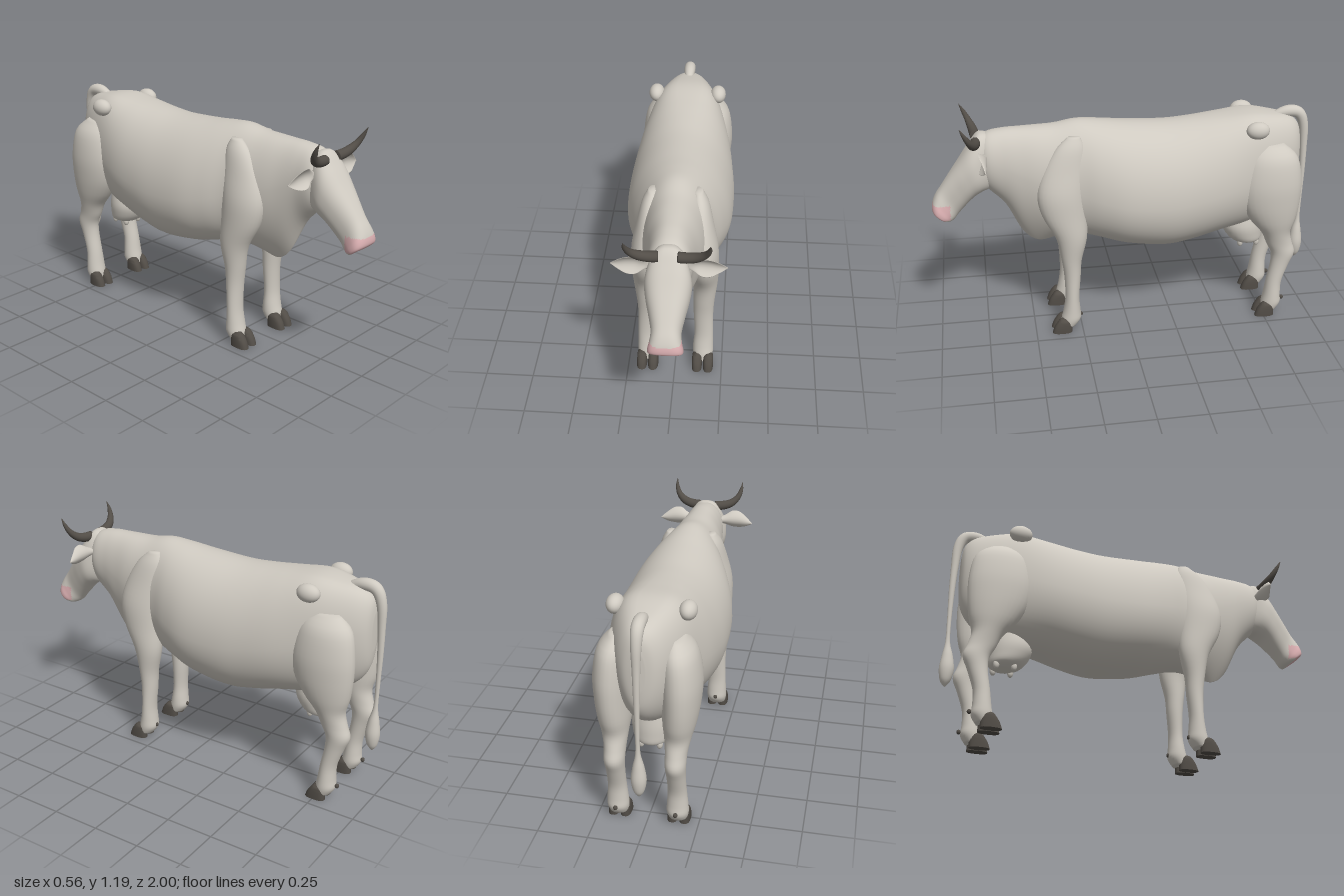
import * as THREE from 'three';
import { toCreasedNormals } from 'three/addons/utils/BufferGeometryUtils.js';

const material = (name, color) => {
  const m = new THREE.MeshStandardMaterial({ color });
  m.name = name;
  return m;
};

// Catmull-Rom blend of a list of section rows at t in 0..1
function blend(rows, t) {
  const f = t * (rows.length - 1);
  const i = Math.min(Math.floor(f), rows.length - 2);
  const u = f - i;
  const row = k => rows[Math.max(0, Math.min(rows.length - 1, k))];
  const [a, b, c, d] = [row(i - 1), row(i), row(i + 1), row(i + 2)];
  return b.map((v, k) => v + 0.5 * u * (c[k] - a[k]
    + u * (2 * a[k] - 5 * v + 4 * c[k] - d[k]
    + u * (3 * (v - c[k]) + d[k] - a[k]))));
}

// Closed skin through rings; ring(section, angle, t) returns a point [x, y, z].
// pick(centroid) optionally sends a face to material group 1.
function loft(rows, ring, sides = 32, steps = 4, pick = null) {
  const count = (rows.length - 1) * steps;
  const pos = [];
  for (let j = 0; j <= count; j++) {
    const s = blend(rows, j / count);
    for (let i = 0; i < sides; i++) pos.push(...ring(s, i / sides * Math.PI * 2, j / count));
  }
  for (const j of [0, count]) {
    const c = [0, 0, 0];
    for (let i = 0; i < sides * 3; i++) c[i % 3] += pos[j * sides * 3 + i] / sides;
    pos.push(...c);
  }
  const faces = [];
  const first = (count + 1) * sides;
  for (let i = 0; i < sides; i++) {
    const n = (i + 1) % sides;
    for (let j = 0; j < count; j++) {
      const a = j * sides + i, b = j * sides + n;
      faces.push([a, b, b + sides], [a, b + sides, a + sides]);
    }
    faces.push([first, n, i], [first + 1, count * sides + i, count * sides + n]);
  }
  // turn every face outward
  const at = k => new THREE.Vector3(pos[k * 3], pos[k * 3 + 1], pos[k * 3 + 2]);
  let volume = 0;
  for (const [a, b, c] of faces) volume += at(a).dot(at(b).cross(at(c)));
  if (volume < 0) faces.forEach(f => f.reverse());
  const geo = new THREE.BufferGeometry();
  geo.setAttribute('position', new THREE.Float32BufferAttribute(pos, 3));
  if (pick) {
    const inside = f => pick(at(f[0]).add(at(f[1])).add(at(f[2])).divideScalar(3));
    const one = faces.filter(f => !inside(f)), two = faces.filter(inside);
    geo.setIndex([...one, ...two].flat());
    geo.addGroup(0, one.length * 3, 0);
    geo.addGroup(one.length * 3, two.length * 3, 1);
  } else geo.setIndex(faces.flat());
  geo.computeVertexNormals();
  return geo;
}

const pow = (v, p) => Math.sign(v) * Math.pow(Math.abs(v), p);

// Level rings, rows [y, x, z, rx, rz]
const column = (rows, side = 1, p = 1, sides = 28) => loft(rows, ([y, x, z, rx, rz], a) =>
  [side * (x + rx * pow(Math.cos(a), p)), y, z + rz * pow(Math.sin(a), p)], sides);

// Tapered tube, rows [x, y, z, radius]; ref is roughly square to the path
function taper(rows, side, ref) {
  const curve = new THREE.CatmullRomCurve3(rows.map(r => new THREE.Vector3(...r.slice(0, 3))));
  return loft(rows, (s, a, t) => {
    const tan = curve.getTangent(t);
    const n = ref.clone().cross(tan).normalize();
    const b = tan.clone().cross(n);
    const p = new THREE.Vector3(s[0], s[1], s[2])
      .addScaledVector(n, Math.cos(a) * s[3]).addScaledVector(b, Math.sin(a) * s[3]);
    return [side * p.x, p.y, p.z];
  }, 18, 6);
}

export function createModel() {
  const cow = new THREE.Group();
  cow.name = 'cow';
  const hide = material('hide', 0xcfcac1);
  const pink = material('muzzlePink', 0xdbb0b2);
  const horn = material('hornAndHoof', 0x524d47);
  const add = (name, geo, mat, parent = cow) => {
    const m = new THREE.Mesh(geo, mat);
    m.name = name;
    parent.add(m);
    return m;
  };
  const ball = (name, mat, p, s) => {
    const m = add(name, new THREE.SphereGeometry(1, 24, 16), mat);
    m.position.set(...p);
    m.scale.set(...s);
  };

  // Trunk and neck: z, top, bottom, half width, widest height, top and bottom sharpness
  add('body', loft([
    [-0.935, 0.99, 0.80, 0.03, 0.90, 1, 1],
    [-0.92, 1.06, 0.70, 0.075, 0.90, 0.9, 1],
    [-0.87, 1.105, 0.62, 0.12, 0.90, 0.8, 1],
    [-0.77, 1.13, 0.55, 0.17, 0.86, 0.65, 1],
    [-0.65, 1.145, 0.51, 0.21, 0.82, 0.6, 1],
    [-0.50, 1.132, 0.488, 0.25, 0.78, 0.8, 0.9],
    [-0.35, 1.118, 0.455, 0.27, 0.75, 0.95, 0.85],
    [-0.20, 1.11, 0.435, 0.28, 0.73, 1, 0.85],
    [0.00, 1.12, 0.46, 0.272, 0.74, 1, 0.85],
    [0.14, 1.135, 0.495, 0.235, 0.77, 1, 0.9],
    [0.25, 1.143, 0.515, 0.19, 0.80, 1, 1],
    [0.36, 1.125, 0.49, 0.165, 0.83, 0.95, 1.5],
    [0.46, 1.12, 0.475, 0.145, 0.86, 0.9, 2],
    [0.54, 1.118, 0.54, 0.125, 0.89, 0.9, 1.7],
    [0.62, 1.115, 0.70, 0.11, 0.93, 0.9, 1.2],
    [0.70, 1.10, 0.79, 0.10, 0.95, 0.9, 1],
    [0.75, 1.06, 0.84, 0.06, 0.95, 1, 1],
  ], ([z, top, bot, w, mid, pt, pb], a) => {
    const s = Math.sin(a);
    return [w * pow(Math.cos(a), s > 0 ? pt : pb), mid + s * (s > 0 ? top - mid : mid - bot), z];
  }, 56, 5), hide);

  // Head: brow z and y, jaw z and y, half width
  add('head', loft([
    [0.68, 1.09, 0.65, 0.88, 0.06],
    [0.74, 1.10, 0.69, 0.81, 0.09],
    [0.795, 1.035, 0.735, 0.79, 0.108],
    [0.85, 0.955, 0.775, 0.765, 0.10],
    [0.90, 0.885, 0.82, 0.72, 0.083],
    [0.945, 0.82, 0.86, 0.675, 0.07],
    [0.976, 0.775, 0.885, 0.645, 0.075],
    [0.994, 0.735, 0.905, 0.634, 0.082],
    [0.998, 0.70, 0.925, 0.637, 0.076],
    [0.985, 0.68, 0.945, 0.655, 0.045],
  ], ([zt, yt, zb, yb, w], a) => {
    const k = (1 + pow(Math.sin(a), 0.85)) / 2;
    return [w * pow(Math.cos(a), 0.75), yb + (yt - yb) * k, zb + (zt - zb) * k];
  }, 48, 6, c => c.z > 0.905 && c.y > 0.655 && c.y < 0.735), [hide, pink]);

  for (const side of [1, -1]) {
    const label = side > 0 ? 'left' : 'right';

    // Shoulder running down into the front leg
    add(label + 'FrontLeg', column([
      [1.09, 0.11, 0.27, 0.02, 0.03], [1.03, 0.12, 0.29, 0.043, 0.075],
      [0.92, 0.13, 0.32, 0.06, 0.11], [0.80, 0.137, 0.34, 0.078, 0.125],
      [0.68, 0.142, 0.33, 0.077, 0.115], [0.55, 0.152, 0.298, 0.064, 0.08],
      [0.42, 0.147, 0.30, 0.055, 0.053], [0.32, 0.146, 0.298, 0.051, 0.043],
      [0.20, 0.15, 0.302, 0.049, 0.037], [0.12, 0.148, 0.305, 0.053, 0.045],
      [0.07, 0.148, 0.31, 0.054, 0.052], [0.03, 0.148, 0.325, 0.046, 0.04],
    ], side), hide);

    // Thigh, hock and lower hind leg
    add(label + 'HindLeg', column([
      [1.0, 0.135, -0.74, 0.035, 0.07], [0.93, 0.15, -0.75, 0.08, 0.135],
      [0.80, 0.16, -0.748, 0.094, 0.163], [0.68, 0.16, -0.755, 0.09, 0.155],
      [0.58, 0.155, -0.775, 0.08, 0.122], [0.50, 0.15, -0.798, 0.064, 0.078],
      [0.43, 0.147, -0.822, 0.053, 0.07], [0.37, 0.147, -0.845, 0.05, 0.064],
      [0.30, 0.147, -0.832, 0.046, 0.05], [0.20, 0.148, -0.807, 0.046, 0.042],
      [0.12, 0.148, -0.80, 0.052, 0.046], [0.07, 0.148, -0.797, 0.054, 0.052],
      [0.03, 0.148, -0.785, 0.046, 0.04],
    ], side), hide);

    // Cloven hooves and dewclaws
    for (const [place, z] of [['Front', 0.362], ['Hind', -0.755]]) {
      for (const x of [0.118, 0.178]) {
        add(label + place + 'Hoof', toCreasedNormals(column([
          [0, x, z, 0.027, 0.053], [0.035, x, z - 0.006, 0.027, 0.046],
          [0.065, x, z - 0.014, 0.024, 0.034], [0.08, x, z - 0.012, 0.012, 0.018],
        ], side, 0.75, 18), 0.9), horn);
      }
      ball(label + place + 'Dewclaw', horn, [side * 0.148, 0.085, z - 0.103], [0.011, 0.012, 0.011]);
    }

    // Hip bones
    ball(label + 'HipBone', hide, [side * 0.17, 1.088, -0.66], [0.042, 0.045, 0.06]);

    // Cupped ears: x, y, z, half height, thickness, cup depth
    add(label + 'Ear', loft([
      [0.085, 0.995, 0.715, 0.018, 0.014, 0.005], [0.115, 0.997, 0.715, 0.03, 0.012, 0.015],
      [0.15, 0.998, 0.712, 0.048, 0.008, 0.032], [0.19, 0.996, 0.713, 0.047, 0.006, 0.03],
      [0.23, 0.99, 0.715, 0.028, 0.005, 0.014], [0.266, 0.985, 0.717, 0.002, 0.002, 0],
    ], ([x, y, z, h, th, cup], a) =>
      [side * x, y + h * Math.cos(a), z + th * Math.sin(a) + cup * Math.cos(a) ** 2], 24), hide);

    // Horns sweep out, then forward and up
    add(label + 'Horn', taper([
      [0.045, 1.065, 0.755, 0.026], [0.09, 1.068, 0.76, 0.025], [0.135, 1.082, 0.77, 0.022],
      [0.17, 1.112, 0.787, 0.016], [0.187, 1.152, 0.808, 0.01], [0.19, 1.19, 0.828, 0.001],
    ], side, new THREE.Vector3(0, 0, 1)), horn);

    // Teats
    for (const z of [-0.635, -0.725]) {
      ball(label + 'Teat', hide, [side * 0.045, 0.395, z], [0.016, 0.027, 0.016]);
    }
  }

  // Udder
  add('udder', column([
    [0.60, 0, -0.66, 0.085, 0.09], [0.51, 0, -0.65, 0.105, 0.11], [0.45, 0, -0.658, 0.10, 0.103],
    [0.405, 0, -0.675, 0.083, 0.082], [0.385, 0, -0.685, 0.04, 0.045],
  ]), hide);

  // Tail with its tuft
  add('tail', taper([
    [0, 1.10, -0.79, 0.02], [0, 1.122, -0.86, 0.03], [0, 1.11, -0.925, 0.03],
    [0, 1.04, -0.957, 0.025], [0, 0.92, -0.966, 0.019], [0, 0.78, -0.97, 0.015],
    [0, 0.62, -0.97, 0.011], [0, 0.50, -0.968, 0.012], [0, 0.42, -0.964, 0.028],
    [0, 0.35, -0.963, 0.037], [0, 0.29, -0.965, 0.026], [0, 0.257, -0.966, 0.003],
  ], 1, new THREE.Vector3(1, 0, 0)), hide);

  return cow;
}
